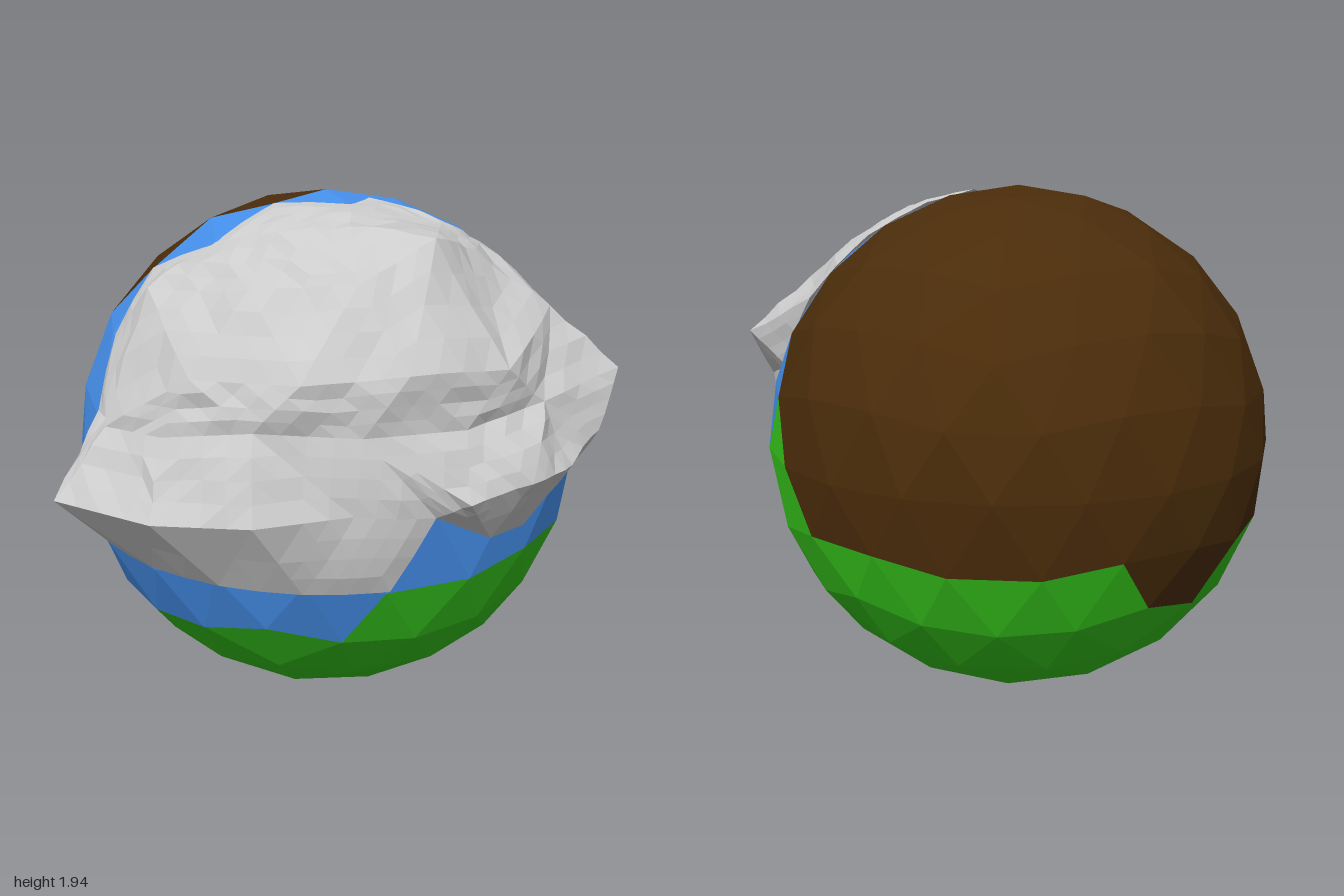
import * as THREE from 'three';
import { ConvexGeometry } from 'three/addons/geometries/ConvexGeometry.js';

const CENTRE = new THREE.Vector3(-0.02, 0.97, -0.03);
const R = 0.97;
const vectors = list => list.map(p => new THREE.Vector3(...p));

// Split every triangle in four; place(a, b) gives the new point on an edge
function subdivide(verts, faces, place) {
  const cache = new Map();
  const mid = (a, b) => {
    const key = Math.min(a, b) + '_' + Math.max(a, b);
    if (!cache.has(key)) {
      cache.set(key, verts.length);
      verts.push(place(a, b));
    }
    return cache.get(key);
  };
  return faces.flatMap(([a, b, c]) => {
    const ab = mid(a, b), bc = mid(b, c), ca = mid(c, a);
    return [[a, ab, ca], [ab, b, bc], [ca, bc, c], [ab, bc, ca]];
  });
}

// Unit icosphere standing on a pole
function icosphere(levels) {
  const ring = (y, offset) => Array.from({ length: 5 }, (_, k) => {
    const a = (k * 72 + offset) * Math.PI / 180, r = Math.sqrt(1 - y * y);
    return new THREE.Vector3(r * Math.cos(a), y, r * Math.sin(a));
  });
  const h = Math.sqrt(0.2);
  const verts = [new THREE.Vector3(0, 1, 0), ...ring(h, 0), ...ring(-h, 36), new THREE.Vector3(0, -1, 0)];
  let faces = [];
  for (let k = 0; k < 5; k++) {
    const n = (k + 1) % 5, u = 1 + k, un = 1 + n, l = 6 + k, ln = 6 + n;
    faces.push([0, un, u], [u, un, l], [l, un, ln], [11, l, ln]);
  }
  for (let i = 0; i < levels; i++) {
    faces = subdivide(verts, faces, (a, b) => verts[a].clone().add(verts[b]).normalize());
  }
  return { verts, faces };
}

function facetMesh(name, verts, faces, color, side = THREE.FrontSide) {
  const points = faces.flatMap(f => f.map(i => verts[i]));
  const geometry = new THREE.BufferGeometry().setFromPoints(points);
  geometry.computeVertexNormals();
  const mesh = new THREE.Mesh(geometry, new THREE.MeshStandardMaterial({ color, side, flatShading: true }));
  mesh.name = name;
  mesh.position.copy(CENTRE);
  return mesh;
}

// Which coloured region a facet of the ball belongs to
const slant = new THREE.Vector3(-0.235, 0.47, -0.724);
function region(c) {
  const az = Math.atan2(c.z, c.x) * 180 / Math.PI, turn = (az + 360) % 360;
  if (c.z <= 0.01 && c.dot(slant) > 0) {
    const floor = turn < 203 ? 0 : turn > 229 && turn < 257 ? -0.48 : -0.25;
    if (c.y > floor) return 'backShell';
  }
  let limit = 0.15;
  if (az > -4) limit = az < 22 ? 0 : az < 85 ? -0.25 : az < 167 ? -0.48 : az < 176 ? -0.25 : 0;
  return c.y < limit ? 'bottomShell' : 'middleBand';
}

// Rock outline lying on the ball, and its raised points, relative to the ball centre
const outline = vectors([
  [-0.86, -0.27, 0.43], [-0.68, -0.27, 0.68], [-0.44, -0.27, 0.86], [-0.15, -0.27, 0.95],
  [0.15, -0.27, 0.95], [0.3, 0, 0.94], [0.5, -0.12, 0.82], [0.64, -0.12, 0.73], [0.79, 0, 0.57],
  [0.88, 0.04, 0.4], [0.89, 0.26, 0.3], [0.88, 0.42, 0.03], [0.79, 0.55, 0.11], [0.72, 0.65, 0.03],
  [0.56, 0.78, 0.12], [0.33, 0.9, 0.12], [0.15, 0.95, 0.12], [0.07, 0.94, 0.23], [-0.2, 0.94, 0.15],
  [-0.43, 0.82, 0.32], [-0.65, 0.71, 0.15], [-0.79, 0.5, 0.3], [-0.86, 0.25, 0.42], [-0.88, 0, 0.45],
]).map(p => p.setLength(R));
const relief = vectors([
  [-0.98, 0, 0.67], [1.02, 0.38, 0.47],                                    // side tips
  [-0.64, 0, 0.92], [-0.31, 0.02, 1.03], [0.02, 0.03, 0.97],               // lower ridge
  [0.4, 0.06, 0.98], [0.62, 0.1, 0.9], [0.8, 0.1, 0.72], [0.93, 0.18, 0.58],
  [-0.8, 0.24, 0.6], [-0.6, 0.25, 0.77], [-0.3, 0.3, 0.91],                // crease
  [0.05, 0.28, 0.93], [0.4, 0.28, 0.86], [0.7, 0.32, 0.68],
  [-0.5, 0.45, 0.79], [-0.15, 0.46, 0.94], [0.2, 0.48, 0.92],              // brow
  [0.55, 0.46, 0.78], [0.77, 0.6, 0.42],
  [-0.65, 0.68, 0.4], [-0.3, 0.72, 0.69], [0.05, 0.74, 0.75],              // crown
  [0.32, 0.87, 0.62], [0.5, 0.8, 0.4], [0.05, 0.89, 0.46], [-0.2, 0.87, 0.42], [0.4, 0.87, 0.25],
]);
const anchors = vectors([[0, -1, 0], [0, 0, -1], [-1, -0.3, -0.5], [1, -0.3, -0.3]]);

function buildRock() {
  // Triangulate by direction, then lift each corner to its own distance
  const verts = [...outline, ...relief];
  const dirs = [...verts, ...anchors].map(p => p.clone().normalize());
  const hull = new ConvexGeometry(dirs).getAttribute('position');
  const corner = new THREE.Vector3();
  const indexAt = i => {
    corner.fromBufferAttribute(hull, i);
    return dirs.findIndex(d => d.distanceTo(corner) < 1e-4);
  };
  let faces = [];
  for (let i = 0; i < hull.count; i += 3) {
    const f = [indexAt(i), indexAt(i + 1), indexAt(i + 2)];
    const onRock = f.every(k => k < verts.length);
    if (onRock && f.some(k => k >= outline.length)) faces.push(f);
  }
  // Roughen the upper facets, keeping the rim down on the ball
  let seed = 7;
  const random = () => (seed = (seed * 16807) % 2147483647) / 2147483647;
  const rim = new Set(outline);
  for (const rough of [0.035, 0.02]) {
    faces = subdivide(verts, faces, (a, b) => {
      const p = verts[a].clone().add(verts[b]).multiplyScalar(0.5);
      if (rim.has(verts[a]) && rim.has(verts[b])) {
        rim.add(p);
        return p.setLength(0.965);
      }
      const jitter = p.y > 0.04 ? (random() - 0.5) * rough : 0;
      return p.setLength(Math.max(p.length() + jitter, 0.975));
    });
  }
  return facetMesh('rockyFront', verts, faces, 0xcccccc, THREE.DoubleSide);
}

export function createModel() {
  const model = new THREE.Group();
  model.name = 'rockyBall';

  // Ball split into three coloured regions
  const { verts, faces } = icosphere(2);
  const scaled = verts.map(v => v.clone().multiplyScalar(R));
  const colors = { backShell: 0x4a2c0a, bottomShell: 0x36c81c, middleBand: 0x4690ec };
  const groups = { backShell: [], bottomShell: [], middleBand: [] };
  for (const f of faces) {
    const c = new THREE.Vector3();
    f.forEach(i => c.add(verts[i]));
    groups[region(c.normalize())].push(f);
  }
  for (const name in groups) model.add(facetMesh(name, scaled, groups[name], colors[name]));

  // Craggy rock over the front
  model.add(buildRock());
  return model;
}
